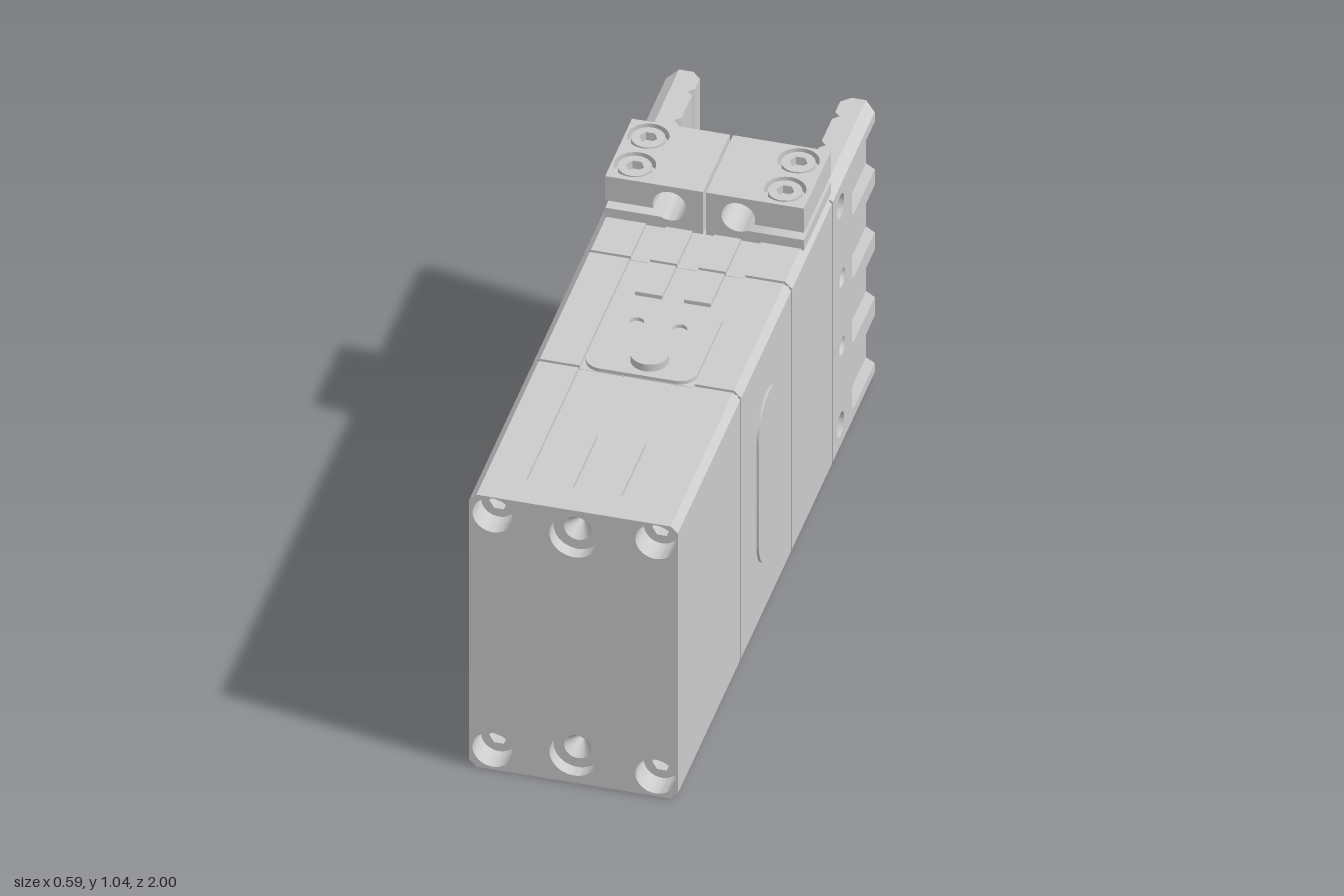
import * as THREE from 'three';
import { toCreasedNormals } from 'three/addons/utils/BufferGeometryUtils.js';

const material = new THREE.MeshStandardMaterial({ color: 0xcccccc });
const openMaterial = new THREE.MeshStandardMaterial({ color: 0xcccccc, side: THREE.DoubleSide });
const X0 = -0.295, X1 = 0.285, TOP = 0.905, CH = 0.02, DEEP = 0.012;
const SLOTS = [[-0.165, -0.11], [-0.035, 0.025], [0.1, 0.155]];
const PANEL = [[-0.165, 0.155]];

export function createModel() {
  const model = new THREE.Group();
  const add = (name, geometry, mat = material) => {
    const mesh = new THREE.Mesh(geometry, mat);
    mesh.name = name;
    model.add(mesh);
    return mesh;
  };
  const box = (name, x0, x1, y0, y1, z0, z1) => add(name, new THREE.BoxGeometry(x1 - x0, y1 - y0, z1 - z0)
    .translate((x0 + x1) / 2, (y0 + y1) / 2, (z0 + z1) / 2));
  const poly = pts => new THREE.Shape(pts.map(p => new THREE.Vector2(...p)));
  const circle = (x, y, r) => new THREE.Shape().absarc(x, y, r, 0, Math.PI * 2);
  const roundRect = (x0, x1, y0, y1, r) => new THREE.Shape()
    .absarc(x1 - r, y0 + r, r, -Math.PI / 2, 0).absarc(x1 - r, y1 - r, r, 0, Math.PI / 2)
    .absarc(x0 + r, y1 - r, r, Math.PI / 2, Math.PI).absarc(x0 + r, y0 + r, r, Math.PI, Math.PI * 1.5);
  // Extrusions along each axis; for x and y the shape's second depth axis is -z
  const slab = (shape, a, b) => new THREE.ExtrudeGeometry(shape,
    { depth: b - a, bevelEnabled: false, curveSegments: 20 }).translate(0, 0, a);
  const alongZ = (shape, a, b) => toCreasedNormals(slab(shape, a, b), 0.5);
  const alongX = (shape, a, b) => alongZ(shape, a, b).rotateY(Math.PI / 2);
  const alongY = (shape, a, b) => alongZ(shape, a, b).rotateX(-Math.PI / 2);

  // Chamfered housing section with grooves in the top and bottom
  const section = (top, bottom) => {
    const pts = [[X0, CH], [X0 + CH, 0]];
    for (const [a, b] of bottom) pts.push([a, 0], [a, DEEP], [b, DEEP], [b, 0]);
    pts.push([X1 - CH, 0], [X1, CH], [X1, TOP - CH], [X1 - CH, TOP]);
    for (const [a, b] of [...top].reverse())
      pts.push([b, TOP], [b, TOP - DEEP], [a, TOP - DEEP], [a, TOP]);
    pts.push([X0 + CH, TOP], [X0, TOP - CH]);
    return poly(pts);
  };

  // Socket head screw, standing along +z
  const screwGeometry = (r, h) => {
    const head = circle(0, 0, r);
    head.holes.push(poly([0, 1, 2, 3, 4, 5].map(i =>
      [r * 0.54 * Math.cos(i * Math.PI / 3), r * 0.54 * Math.sin(i * Math.PI / 3)])));
    return alongZ(head, 0, h);
  };

  // Front plate with counterbored holes, screws and drilled centres
  const corners = [-0.23, 0.223].flatMap(x => [0.065, 0.845].map(y => [x, y]));
  for (const [z0, z1, r] of [[0.96, 1, 0.068], [0.9, 0.96, 0.038]]) {
    const plate = section([], []);
    corners.forEach(([x, y]) => plate.holes.push(circle(x, y, 0.056)));
    [0.092, 0.818].forEach(y => plate.holes.push(circle(-0.004, y, r)));
    add('frontPlate', alongZ(plate, z0, z1));
  }
  for (const [x, y] of corners) add('frontScrew', screwGeometry(0.05, 0.035).translate(x, y, 0.9));
  for (const y of [0.092, 0.818])
    add('centreDrill', new THREE.ConeGeometry(0.038, 0.06, 28, 1, true)
      .rotateX(-Math.PI / 2).translate(-0.004, y, 0.93), openMaterial);

  // Housing segments, split by narrow seams
  const segments = [
    [0.65, 0.9, SLOTS, SLOTS], [0.372, 0.65, PANEL, SLOTS], [0, 0.362, PANEL, SLOTS],
    [-0.14, 0, SLOTS, SLOTS], [-0.5, -0.15, SLOTS, SLOTS], [-0.548, -0.5, SLOTS, []],
  ];
  for (const [a, b, top, bottom] of segments) add('housing', alongZ(section(top, bottom), a, b));
  box('innerCore', X0 + 0.009, X1 - 0.009, 0.013, TOP - 0.013, -0.57, 0.38);

  // Top control panel with its button and two dimples
  const panel = roundRect(-0.16, 0.15, -0.36, -0.02, 0.05);
  [-0.07, 0.05].forEach(x => panel.holes.push(circle(x, -0.13, 0.02)));
  add('controlPanel', alongY(panel, TOP - DEEP, TOP - 0.001));
  add('button', new THREE.CylinderGeometry(0.052, 0.052, 0.03, 32).translate(0.01, 0.912, 0.288));

  // Raised oval badge on the left side
  add('sideBadge', alongX(roundRect(-0.21, 0, 0.18, 0.725, 0.105), X1 - 0.002, X1 + 0.007));

  // Rear wall with two cross holes
  const wall = poly([[0.558, 0], [0.7, 0], [0.7, TOP], [0.558, TOP]]);
  [0.09, 0.815].forEach(y => wall.holes.push(circle(0.635, y, 0.037)));
  add('rearWall', alongX(wall, X0 + 0.03, X1 - 0.03));

  // Fork arms: notched inner core and pocketed outer skin
  for (const side of [-1, 1]) {
    const outer = side > 0 ? X1 : X0, skin = outer - side * 0.03, inner = side > 0 ? 0.19 : -0.2;
    const arm = [[skin, 0.7], [skin, 1], [inner + side * 0.025, 1], [inner, 0.975]];
    for (const w of [0.91, 0.775])
      arm.push([inner, w + 0.016], [inner + side * 0.016, w], [inner, w - 0.016]);
    arm.push([inner, 0.7]);
    add('forkArm', alongY(poly(arm), 0, TOP));

    const s = new THREE.Shape().moveTo(0.558, 0).lineTo(1, 0);
    for (const y of [0.05, 0.27, 0.485, 0.695]) {
      const h = y + 0.158, r = 0.03;
      s.lineTo(1, y).lineTo(0.75 + r, y).quadraticCurveTo(0.75, y, 0.75, y + r)
        .lineTo(0.75, h - r).quadraticCurveTo(0.75, h, 0.75 + r, h).lineTo(1, h);
    }
    s.lineTo(1, TOP).lineTo(0.558, TOP).lineTo(0.558, 0);
    [0.09, 0.815].forEach(y => s.holes.push(circle(0.635, y, side > 0 ? 0.037 : 0.068)));
    if (side > 0) [0.34, 0.567].forEach(y => s.holes.push(circle(0.652, y, 0.028)));
    // Chamfer the outer edges by pulling in the outer layer
    const g = slab(s, Math.min(outer, skin), Math.max(outer, skin)).rotateY(Math.PI / 2);
    const p = g.attributes.position;
    for (let i = 0; i < p.count; i++) if (Math.abs(p.getX(i) - outer) < 1e-4) {
      p.setY(i, THREE.MathUtils.clamp(p.getY(i), CH, TOP - CH));
      p.setZ(i, Math.max(p.getZ(i), -0.98));
    }
    g.computeVertexNormals();
    add('forkSkin', toCreasedNormals(g, 0.5));
    if (side > 0) for (const y of [0.34, 0.567])
      add('pinHole', new THREE.ConeGeometry(0.028, 0.028, 24, 1, true)
        .rotateZ(Math.PI / 2).translate(X1 - 0.015, y, -0.652), openMaterial);
  }

  // Pair of split clamps with a round bore
  const Z0 = -0.575, Z1 = -0.305;
  for (const [side, out, inn, c, sx] of [[-1, -0.278, -0.006, -0.099, -0.215], [1, 0.275, 0.003, 0.092, 0.203]]) {
    const cy = 0.975, split = c + side * 0.05;
    const hit = y => Math.asin((y - cy) / 0.047);
    // Arc is drawn for the right-hand case and mirrored by side
    const pts = [[out, 0.9], [out, 0.935]];
    const a0 = hit(0.935), a1 = hit(0.96) + Math.PI * 2;
    // Sweep from the slot floor, clockwise round the bore, to the slot roof
    for (let i = 0; i <= 30; i++) {
      const a = a0 - (a0 - (a1 - Math.PI * 4)) * i / 30;
      pts.push([c + side * 0.047 * Math.cos(a), cy + 0.047 * Math.sin(a)]);
    }
    pts.push([split, 0.96], [split, 1.04], [inn, 1.04], [inn, 0.9]);
    add('clampBody', alongZ(poly(pts), Z0, Z1));
    const xa = Math.min(out, split), xb = Math.max(out, split);
    box('clampJaw', xa, xb, 0.96, 1.01, Z0, Z1);
    const cap = poly([[xa, -Z1], [xb, -Z1], [xb, -Z0], [xa, -Z0]]);
    const screws = [-0.376, -0.51];
    screws.forEach(z => cap.holes.push(circle(sx, -z, 0.057)));
    add('clampJaw', alongY(cap, 1.01, 1.04));
    for (const z of screws) {
      add('clampScrew', screwGeometry(0.046, 0.026).rotateX(-Math.PI / 2).translate(sx, 1.01, z));
      add('clampScrewShank', new THREE.CylinderGeometry(0.028, 0.028, 0.04, 20).translate(sx, 0.947, z));
      add('bottomScrewSeat', new THREE.CylinderGeometry(0.022, 0.022, 0.004, 20).translate(sx, 0.001, z));
    }
  }
  return model;
}
